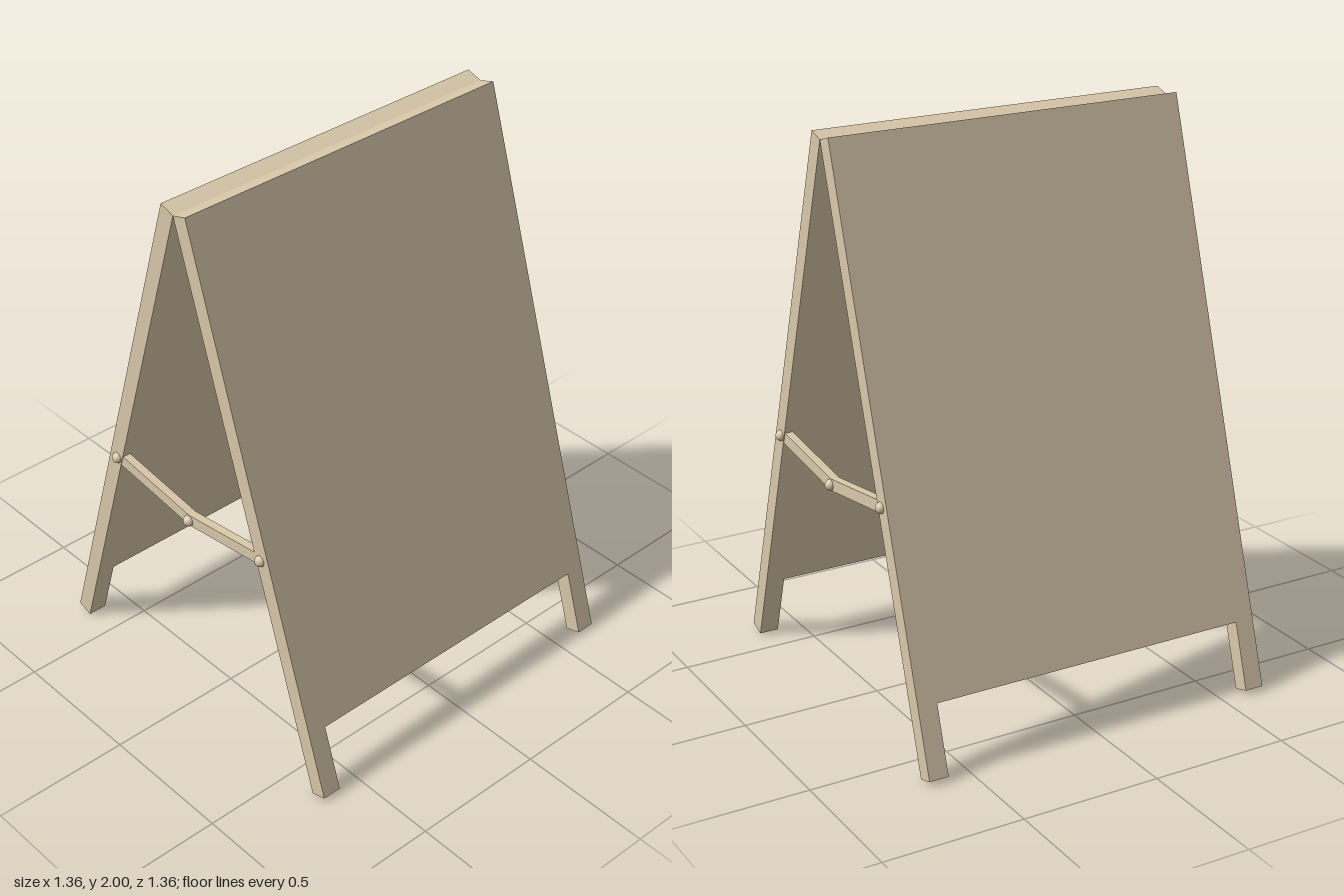
import * as THREE from 'three';

const WOOD = new THREE.MeshStandardMaterial({ color: 0xd9c9ab });
const HALF_W = 0.66, LEG_W = 0.07, LEG_H = 0.243; // board half width, leg width and height
const LENGTH = 2.077, THICK = 0.061, APEX = 1.982, TILT = 0.303;

function add(parent, name, geometry) {
  const mesh = new THREE.Mesh(geometry, WOOD);
  mesh.name = name;
  parent.add(mesh);
  return mesh;
}

// Leaning board with two short legs, hinged at its inner top edge
function addBoard(parent) {
  const inner = HALF_W - LEG_W;
  const outline = [
    [-HALF_W, 0], [-HALF_W, -LENGTH], [-inner, -LENGTH], [-inner, LEG_H - LENGTH],
    [inner, LEG_H - LENGTH], [inner, -LENGTH], [HALF_W, -LENGTH], [HALF_W, 0],
  ].map(([x, y]) => new THREE.Vector2(x, y));
  const board = add(parent, 'board', new THREE.ExtrudeGeometry(new THREE.Shape(outline), { depth: THICK, bevelEnabled: false }));
  board.position.y = APEX;
  board.rotation.x = -TILT;
}

// Folding brace on one side: two bars that sag to a middle joint, and three domed rivets
function addBrace(parent) {
  const joints = [[0.86, 0.375], [0.81, -0.007], [0.86, -0.373]];
  joints.forEach(([y, z], i) => {
    const rivet = add(parent, 'rivet', new THREE.SphereGeometry(0.02, 16, 8, 0, Math.PI * 2, 0, Math.PI / 2));
    rivet.rotation.z = -Math.PI / 2;
    rivet.position.set(HALF_W - 0.001, y, z);
    if (i === 2) return;
    const [y2, z2] = joints[i + 1];
    const bar = add(parent, 'braceBar', new THREE.BoxGeometry(0.03, 0.042, Math.hypot(y2 - y, z2 - z) + 0.006));
    bar.position.set(HALF_W - 0.017, (y + y2) / 2, (z + z2) / 2);
    bar.rotation.x = Math.atan2(y2 - y, z - z2);
  });
}

export function createModel() {
  const model = new THREE.Group();
  model.name = 'sandwichBoard';
  // The second half is the first turned by 180 degrees
  ['front', 'back'].forEach((side, i) => {
    const half = new THREE.Group();
    half.name = side + 'Half';
    half.rotation.y = i * Math.PI;
    addBoard(half);
    addBrace(half);
    model.add(half);
  });
  return model;
}
